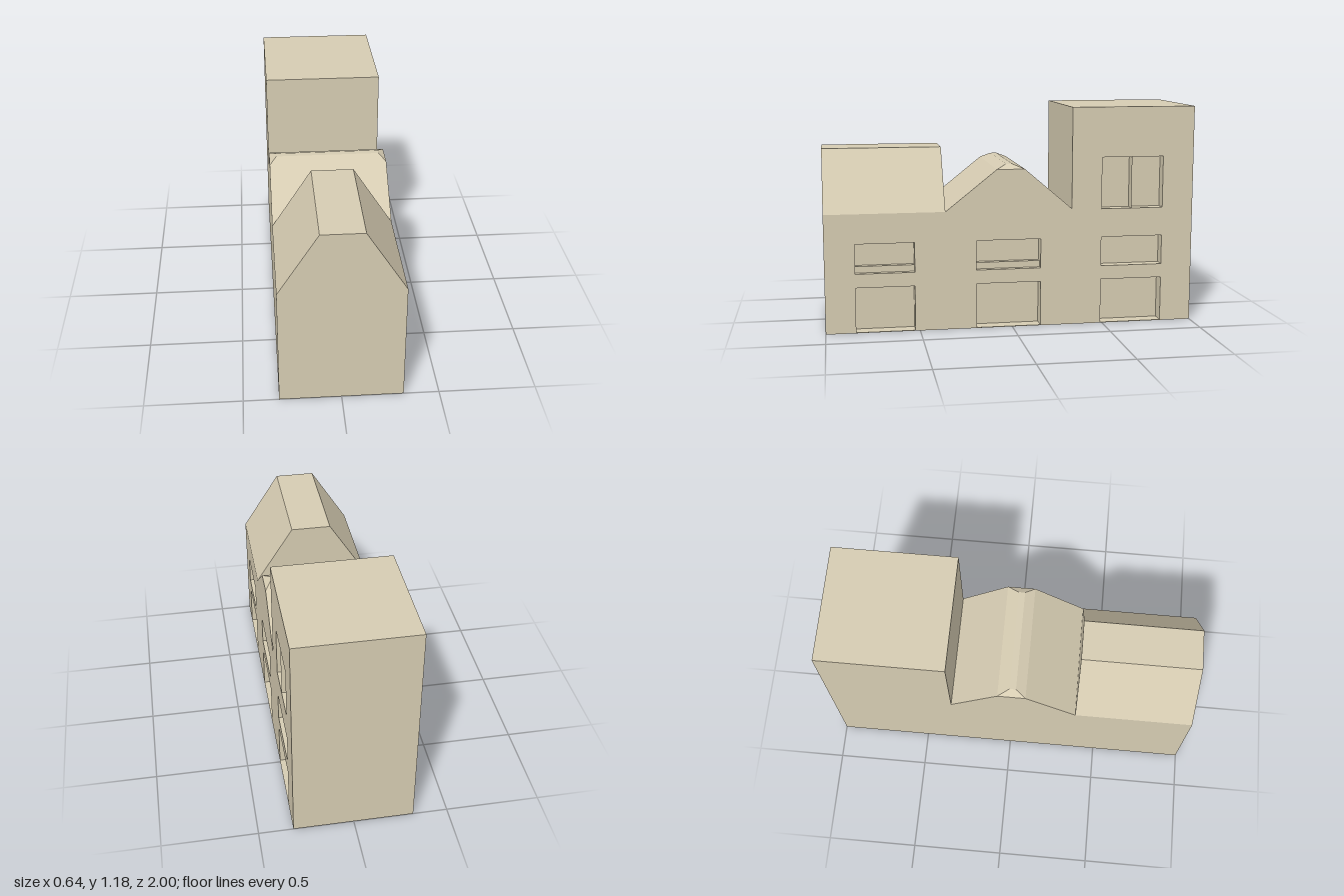
import * as THREE from 'three';
import { ConvexGeometry } from 'three/addons/geometries/ConvexGeometry.js';

const HALF = 0.318;      // half width of the row
const DEPTH = 0.075;     // depth of the door recesses
const WINDOW = 0.06;     // depth of the window recesses

export function createModel() {
  const group = new THREE.Group();
  const stone = new THREE.MeshStandardMaterial({ color: 0xd6ccb2 });
  stone.name = 'sandstone';
  const stoneSheet = stone.clone();
  stoneSheet.name = 'sandstone';
  stoneSheet.side = THREE.DoubleSide;

  const add = (name, geometry, material = stone) => {
    const mesh = new THREE.Mesh(geometry, material);
    mesh.name = name;
    group.add(mesh);
    return mesh;
  };
  const outline = (pts) => new THREE.Shape(pts.map(([x, y]) => new THREE.Vector2(x, y)));
  const extrude = (shape, depth) =>
    new THREE.ExtrudeGeometry(shape, { depth, bevelEnabled: false });

  // Side silhouette of the three joined houses, given as (-z, y)
  const silhouette = [
    [-1, 0], [1, 0], [1, 1.185], [0.325, 1.185], [0.325, 0.64],
    [0.067, 0.86], [-0.084, 0.86], [-0.36, 0.64], [-1, 0.64],
  ];

  // Openings: z of the front and back edge, then bottom and top
  const bays = [[0.84, 0.525], [0.195, -0.155], [-0.49, -0.83]];
  const doors = bays.map(([a, b]) => [a, b, 0.003, 0.245]);
  const windows = bays.map(([a, b]) => [a, b, 0.32, 0.48]);
  windows.push([-0.49, -0.83, 0.635, 0.915]);

  // Solid core behind the street wall
  const core = extrude(outline(silhouette), 2 * HALF - DEPTH);
  core.rotateY(Math.PI / 2).translate(-HALF, 0, 0);
  add('houseCore', core);

  // Street wall pierced by doors and windows
  const wall = outline(silhouette);
  for (const [a, b, y0, y1] of [...doors, ...windows]) {
    wall.holes.push(outline([[-a, y0], [-a, y1], [-b, y1], [-b, y0]]));
  }
  const facade = extrude(wall, DEPTH);
  facade.rotateY(Math.PI / 2).translate(HALF - DEPTH, 0, 0);
  add('streetWall', facade);

  // A block set inside an opening, between two depths from the wall face
  const fill = (name, [a, b, y0, y1], near, far) => {
    const block = new THREE.BoxGeometry(far - near, y1 - y0, a - b);
    add(name, block).position.set(HALF - (near + far) / 2, (y0 + y1) / 2, (a + b) / 2);
  };
  windows.forEach((w) => fill('windowBack', w, WINDOW, DEPTH));

  // Raised inner sills of the front and middle houses
  windows.slice(0, 2).forEach(([a, b, y0]) =>
    fill('windowSill', [a, b, y0, 0.355], 0.03, WINDOW));

  // Thin divider in the tall upper window
  add('windowDivider', new THREE.PlaneGeometry(WINDOW, 0.28), stoneSheet)
    .position.set(HALF - WINDOW / 2, 0.775, -0.656);

  // Flat-topped roof of the front house
  const roof = extrude(outline([[-HALF, 0.64], [HALF, 0.64], [0.11, 0.965], [-0.11, 0.965]]), 0.64);
  roof.translate(0, 0, 0.36);
  add('frontRoof', roof);

  // Clipped ridge cap of the middle house
  const ridge = [];
  for (const s of [-1, 1]) {
    ridge.push(
      new THREE.Vector3(s * HALF, 0.86, 0.084), new THREE.Vector3(s * HALF, 0.86, -0.067),
      new THREE.Vector3(s * 0.28, 0.885, 0.03), new THREE.Vector3(s * 0.28, 0.885, -0.005),
    );
  }
  add('middleRidge', new ConvexGeometry(ridge));

  return group;
}
